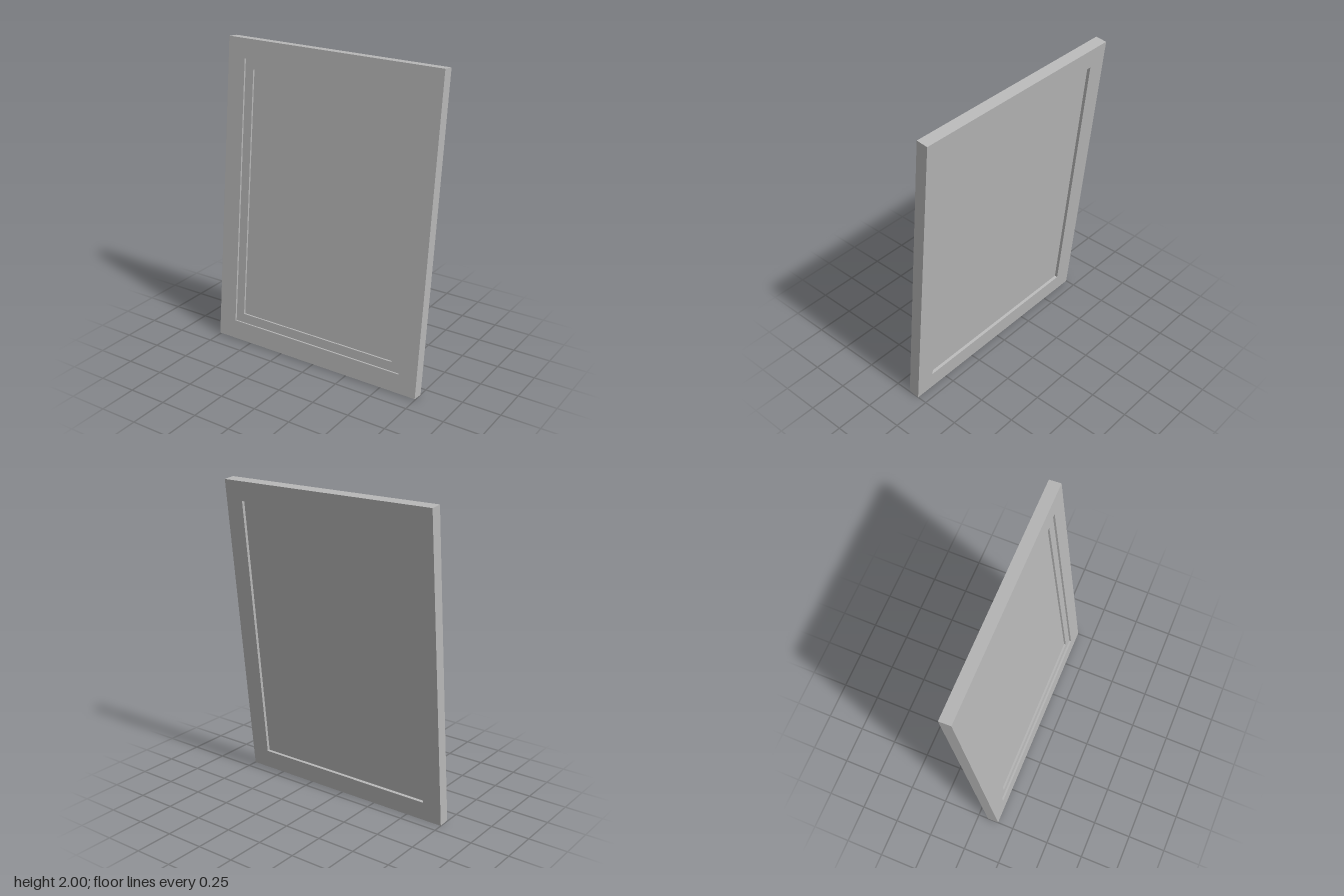
import * as THREE from 'three';

const grey = new THREE.MeshStandardMaterial({ color: 0xb8b8b8 });
grey.name = 'plain grey';

// Rectangular ring with a rectangular opening, from z = back to z = front
function ring(name, w, h, border, back, front) {
  const rect = (Type, a, b) => new Type([
    new THREE.Vector2(-a, -b), new THREE.Vector2(a, -b),
    new THREE.Vector2(a, b), new THREE.Vector2(-a, b),
  ]);
  const shape = rect(THREE.Shape, w / 2, h / 2);
  shape.holes.push(rect(THREE.Path, w / 2 - border, h / 2 - border));
  const geometry = new THREE.ExtrudeGeometry(shape, { depth: front - back, bevelEnabled: false });
  geometry.translate(0, 0, back);
  const mesh = new THREE.Mesh(geometry, grey);
  mesh.name = name;
  return mesh;
}

export function createModel() {
  const model = new THREE.Group();
  model.name = 'pictureFrame';
  const W = 1.5, H = 2.003, T = 0.075, border = 0.125;
  const innerW = W - 2 * border, innerH = H - 2 * border;

  // Everything leans back by six degrees
  const leaning = new THREE.Group();
  leaning.name = 'leaningFrame';
  leaning.rotation.x = -THREE.MathUtils.degToRad(6);
  leaning.position.y = 1;
  model.add(leaning);

  // Outer border and the stepped mat inside it
  leaning.add(ring('outerFrame', W, H, border, -T / 2, T / 2));
  leaning.add(ring('mat', innerW, innerH, 0.06, 0.0125, 0.025));

  // Panel recessed from both the front and the back
  const panel = new THREE.Mesh(new THREE.BoxGeometry(innerW, innerH, 0.03), grey);
  panel.name = 'picturePanel';
  panel.position.z = -0.0025;
  leaning.add(panel);

  return model;
}
